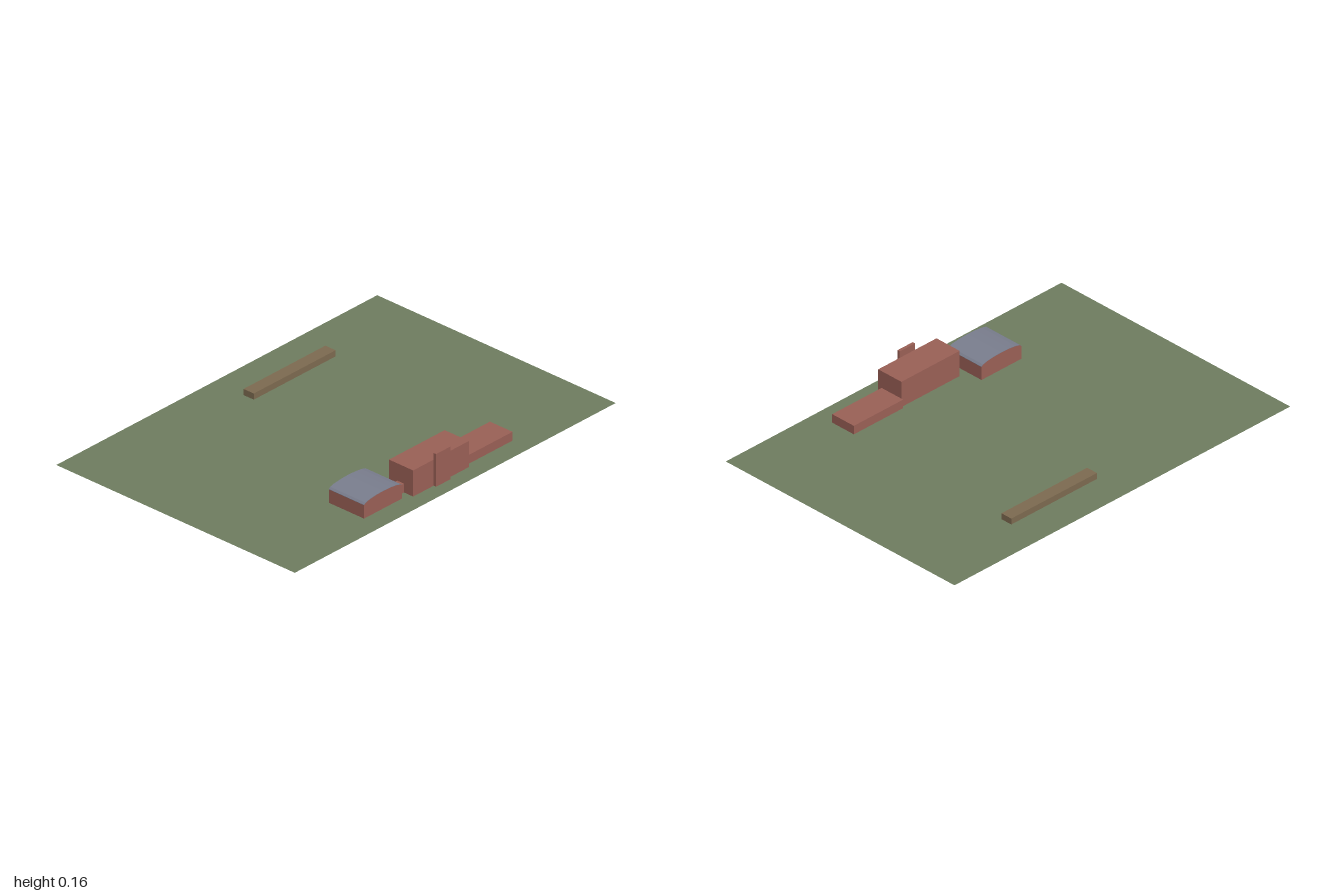
import * as THREE from 'three';

const mat = (name, color) => {
  const m = new THREE.MeshStandardMaterial({ color });
  m.name = name;
  return m;
};

export function createModel() {
  const model = new THREE.Group();
  const grass = mat('grass green', 0x6e7d5f);
  grass.side = THREE.DoubleSide;
  const brick = mat('brick red', 0x9a6056);
  const slate = mat('slate blue', 0x7a7e8e);
  const timber = mat('timber brown', 0x7d6a50);

  const add = (name, geometry, material) => {
    const mesh = new THREE.Mesh(geometry, material);
    mesh.name = name;
    model.add(mesh);
    return mesh;
  };
  // Box standing on the ground, given by its plan extents and height
  const block = (name, x0, x1, z0, z1, h, material) =>
    add(name, new THREE.BoxGeometry(x1 - x0, h, z1 - z0), material)
      .position.set((x0 + x1) / 2, h / 2, (z0 + z1) / 2);
  // Flat sheet facing up
  const sheet = (name, x0, x1, z0, z1, y) =>
    add(name, new THREE.PlaneGeometry(x1 - x0, z1 - z0).rotateX(-Math.PI / 2), grass)
      .position.set((x0 + x1) / 2, y, (z0 + z1) / 2);

  // Site and the level field in its middle
  sheet('ground', -1, 1, -0.687, 0.687, 0.0004);
  sheet('field', -0.21, 0.745, -0.265, 0.155, 0.0008);

  // Main building with its tower, side wing and link
  block('mainHall', -0.176, 0.171, 0.468, 0.607, 0.127, brick);
  block('entranceTower', -0.048, 0.043, 0.607, 0.621, 0.159, brick);
  block('sideWing', 0.171, 0.465, 0.457, 0.587, 0.043, brick);
  block('link', -0.22, -0.176, 0.515, 0.555, 0.043, brick);

  // Long low building on the far side
  block('farBuilding', -0.018, 0.492, -0.516, -0.457, 0.03, timber);

  // Hall with a shallow arched roof
  const half = 0.1185, eaves = 0.065, rise = 0.02, segments = 8;
  const arch = (lift) => Array.from({ length: segments + 1 }, (_, i) => {
    const a = (Math.PI * i) / segments;
    return new THREE.Vector2(half * Math.cos(a), eaves + lift + rise * Math.sin(a));
  });
  const extrude = (name, points, material) =>
    add(name, new THREE.ExtrudeGeometry(new THREE.Shape(points), { depth: 0.203, bevelEnabled: false }), material)
      .position.set(-0.3385, 0, 0.381);
  extrude('archedHall',
    [new THREE.Vector2(-half, 0), new THREE.Vector2(half, 0), ...arch(0)], brick);
  extrude('archedRoof', [...arch(0.0015), ...arch(0).reverse()], slate);

  return model;
}
